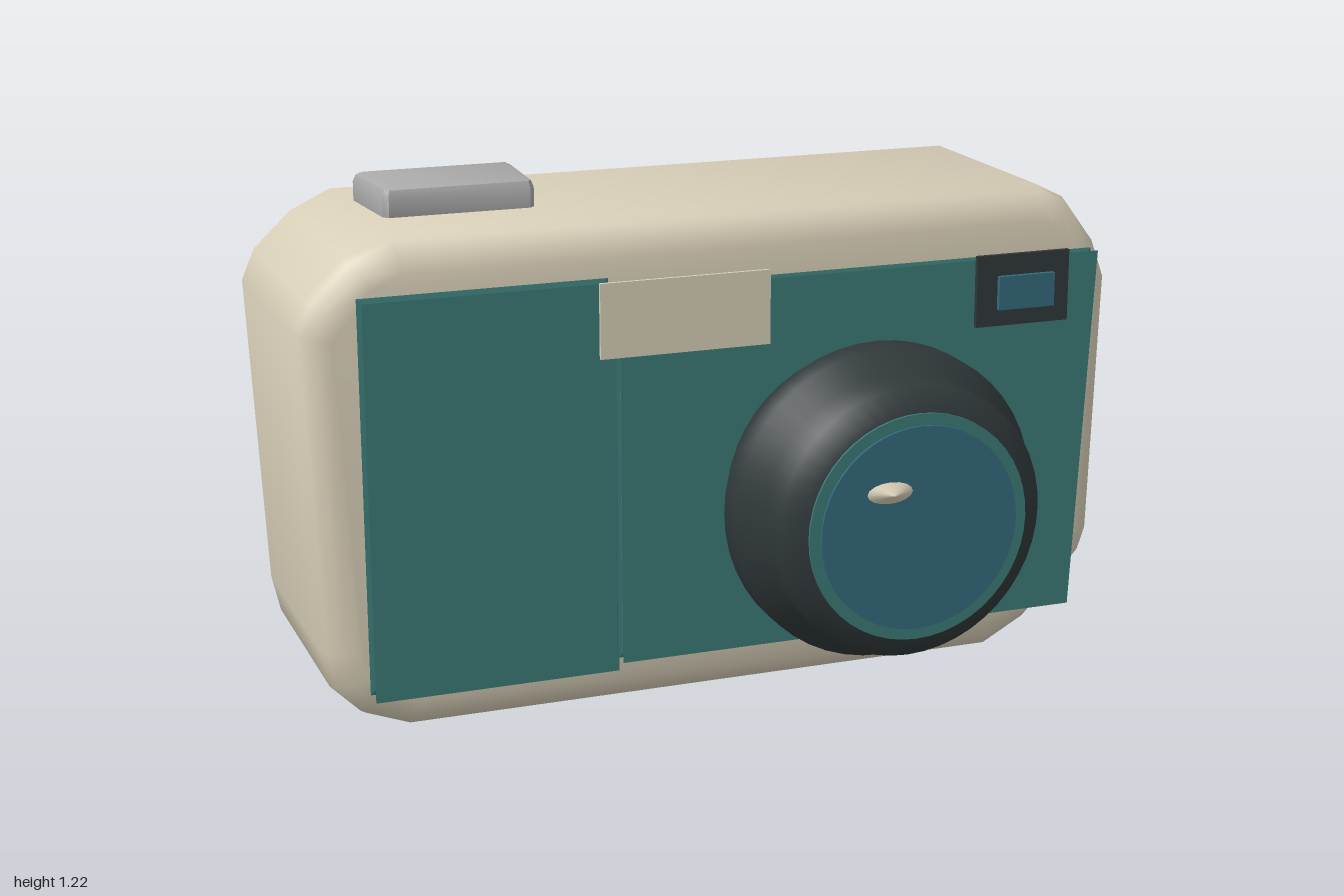
import * as THREE from 'three';
import { toCreasedNormals } from 'three/addons/utils/BufferGeometryUtils.js';

const material = (name, color) => {
  const m = new THREE.MeshStandardMaterial({ color });
  m.name = name;
  return m;
};

// Outline in the xy plane extruded from z0 to z1; a negative bevel pinches the edge inwards.
function slab(points, z0, z1, { bevel, thickness, segments = 3, offset = 0 }) {
  const shape = new THREE.Shape(points.map(([x, y]) => new THREE.Vector2(x, y)));
  const geometry = new THREE.ExtrudeGeometry(shape, {
    depth: z1 - z0 - 2 * thickness,
    bevelEnabled: true,
    bevelSize: bevel,
    bevelThickness: thickness,
    bevelSegments: segments,
    bevelOffset: offset,
  });
  geometry.translate(0, 0, z0 + thickness);
  return geometry;
}

const rect = (x0, x1, y0, y1) => [[x0, y0], [x1, y0], [x1, y1], [x0, y1]];

export function createModel() {
  const model = new THREE.Group();
  model.name = 'camera';

  const cream = material('cream', 0xd8cfb8);
  const teal = material('teal', 0x3b7b77);
  const dark = material('charcoal', 0x30383a);
  const blue = material('glassBlue', 0x336a7c);
  const grey = material('grey', 0xa9aaa9);

  const add = (name, geometry, mat, x = 0, y = 0, z = 0) => {
    const mesh = new THREE.Mesh(geometry, mat);
    mesh.name = name;
    mesh.position.set(x, y, z);
    model.add(mesh);
    return mesh;
  };

  // Body: soft, slightly tapered outline with rounded edges
  const outline = [
    [-0.77, 0], [0.7, 0], [0.81, 0.06], [0.96, 0.22], [0.98, 0.28],
    [1, 0.925], [0.965, 1.02], [0.89, 1.12], [0.82, 1.155],
    [-0.78, 1.155], [-0.875, 1.11], [-0.97, 1.02], [-1, 0.95],
    [-0.965, 0.2], [-0.945, 0.11], [-0.875, 0.04],
  ];
  const body = slab(outline, -0.545, 0.145, { bevel: 0.075, thickness: 0.075, offset: -0.075 });
  add('body', toCreasedNormals(body, 0.75), cream);

  // Front panels and rear screen, with pinched edges
  add('gripPanel', slab(rect(-0.875, -0.3, 0.12, 1.04), 0.18, 0.232,
    { bevel: -0.025, thickness: 0.022 }), teal);
  add('frontPanel', slab([[-0.285, 0.13], [0.87, 0.13], [0.915, 1.015], [-0.285, 1.015]], 0.18, 0.216,
    { bevel: -0.02, thickness: 0.016 }), teal);
  add('rearScreen', slab(rect(-0.36, 0.75, 0.25, 0.94), -0.613, -0.588,
    { bevel: -0.012, thickness: 0.011 }), dark);

  // Name plate and viewfinder
  add('plate', new THREE.BoxGeometry(0.405, 0.173, 0.008), cream, -0.143, 0.961, 0.256);
  add('viewfinderFrame', new THREE.BoxGeometry(0.238, 0.17, 0.012), dark, 0.7, 0.948, 0.246);
  add('viewfinderGlass', new THREE.BoxGeometry(0.143, 0.08, 0.012), blue, 0.7, 0.946, 0.268);

  // Lens barrel, turned about z
  const profile = [
    [0, 0.232], [0.33, 0.232], [0.37, 0.32], [0.37, 0.385],
    [0.32, 0.435], [0.32, 0.525], [0.265, 0.565], [0, 0.565],
  ].map(([r, z]) => new THREE.Vector2(r, z));
  const barrel = new THREE.LatheGeometry(profile, 48).rotateX(Math.PI / 2);
  add('lensBarrel', toCreasedNormals(barrel, 0.95), dark, 0.295, 0.505);

  // Lens ring and glass
  const disc = (r, depth) => new THREE.CylinderGeometry(r, r, depth, 48).rotateX(Math.PI / 2);
  add('lensRing', disc(0.265, 0.006), teal, 0.295, 0.505, 0.568);
  add('lensGlass', disc(0.238, 0.006), blue, 0.295, 0.505, 0.574);

  // Small pointed glint in front of the glass
  const glint = new THREE.ConeGeometry(1, 1, 16).rotateX(Math.PI / 2).scale(0.055, 0.025, 0.026);
  add('lensGlint', glint, cream, 0.215, 0.6, 0.601);

  // Shutter button: trapezoid plan, bevelled top edge (drawn in plan, then laid flat)
  const plan = [[-0.73, 0.087], [-0.397, 0.087], [-0.385, 0.1], [-0.375, 0.31],
    [-0.385, 0.32], [-0.75, 0.32], [-0.76, 0.31], [-0.742, 0.1]];
  const button = slab(plan, 1.12, 1.223, { bevel: 0.022, thickness: 0.022, segments: 2, offset: -0.022 });
  add('shutterButton', toCreasedNormals(button.rotateX(-Math.PI / 2), 0.6), grey);

  return model;
}
